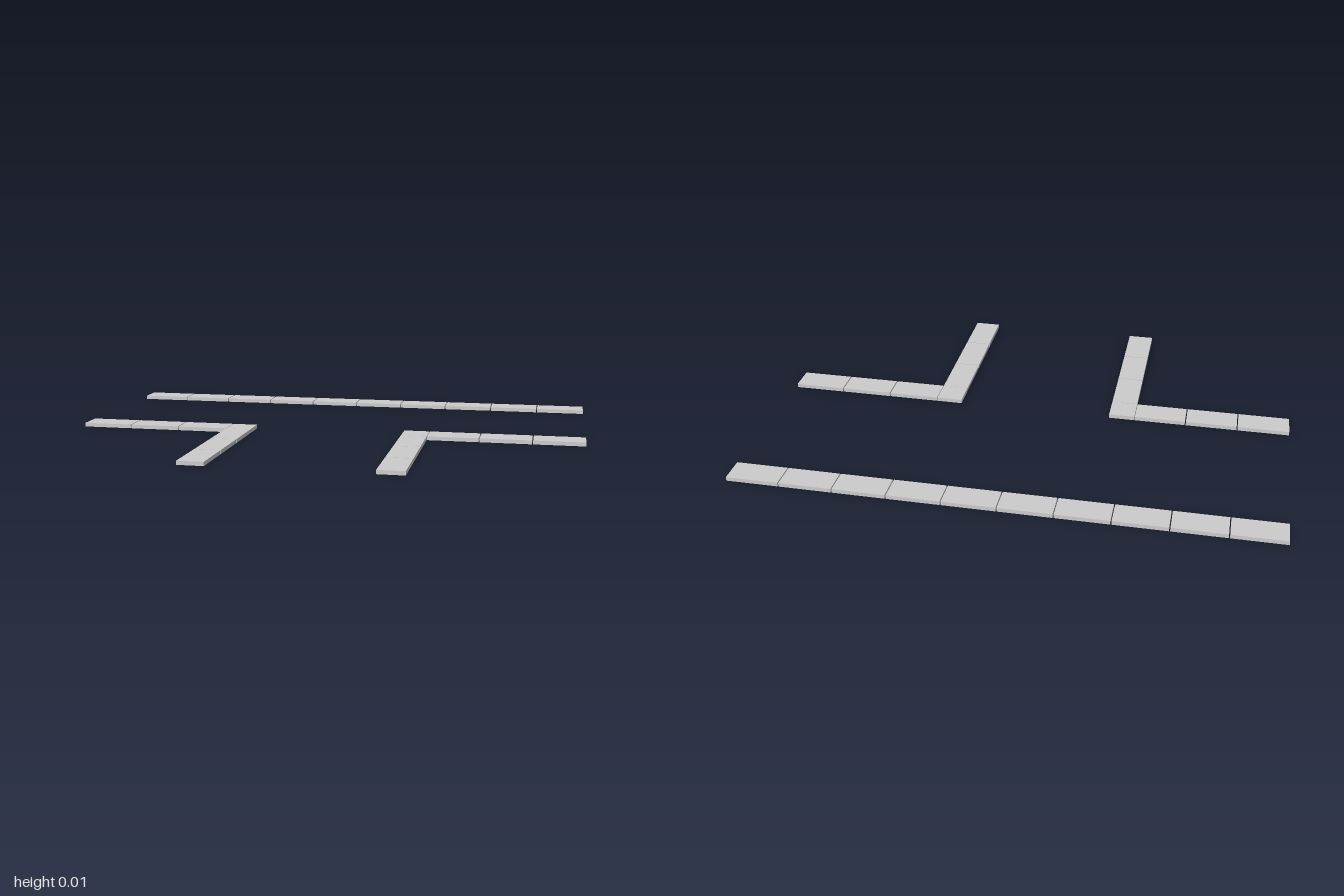
import * as THREE from 'three';

const WIDTH = 0.1, HEIGHT = 0.015, LENGTH = 0.2, JOINT = 0.004;

export function createModel() {
  const model = new THREE.Group();
  model.name = 'junctionKerbs';
  const material = new THREE.MeshStandardMaterial({ color: 0xcccccc, flatShading: true });

  // One kerb stone resting on the ground, centred at x, z
  function stone(parent, name, sizeX, sizeZ, x, z) {
    const mesh = new THREE.Mesh(new THREE.BoxGeometry(sizeX, HEIGHT, sizeZ), material);
    mesh.name = name;
    mesh.position.set(x, HEIGHT / 2, z);
    parent.add(mesh);
  }

  // Long straight kerb at the back
  const straight = new THREE.Group();
  straight.name = 'straightKerb';
  for (let i = 0; i < 10; i++) {
    stone(straight, 'straightStone', LENGTH - JOINT, WIDTH, -0.9 + i * LENGTH, -0.65);
  }
  model.add(straight);

  // Mirrored L-shaped kerbs: a corner stone, an arm outward and an arm forward
  for (const side of [1, -1]) {
    const corner = new THREE.Group();
    corner.name = side > 0 ? 'leftCornerKerb' : 'rightCornerKerb';
    stone(corner, 'cornerStone', WIDTH, WIDTH, side * 0.35, 0.05);
    for (let i = 0; i < 3; i++) {
      stone(corner, 'sideArmStone', LENGTH - JOINT, WIDTH, side * (0.5 + i * LENGTH), 0.05);
      stone(corner, 'frontArmStone', WIDTH, LENGTH - JOINT, side * 0.35, 0.2 + i * LENGTH);
    }
    model.add(corner);
  }
  return model;
}
